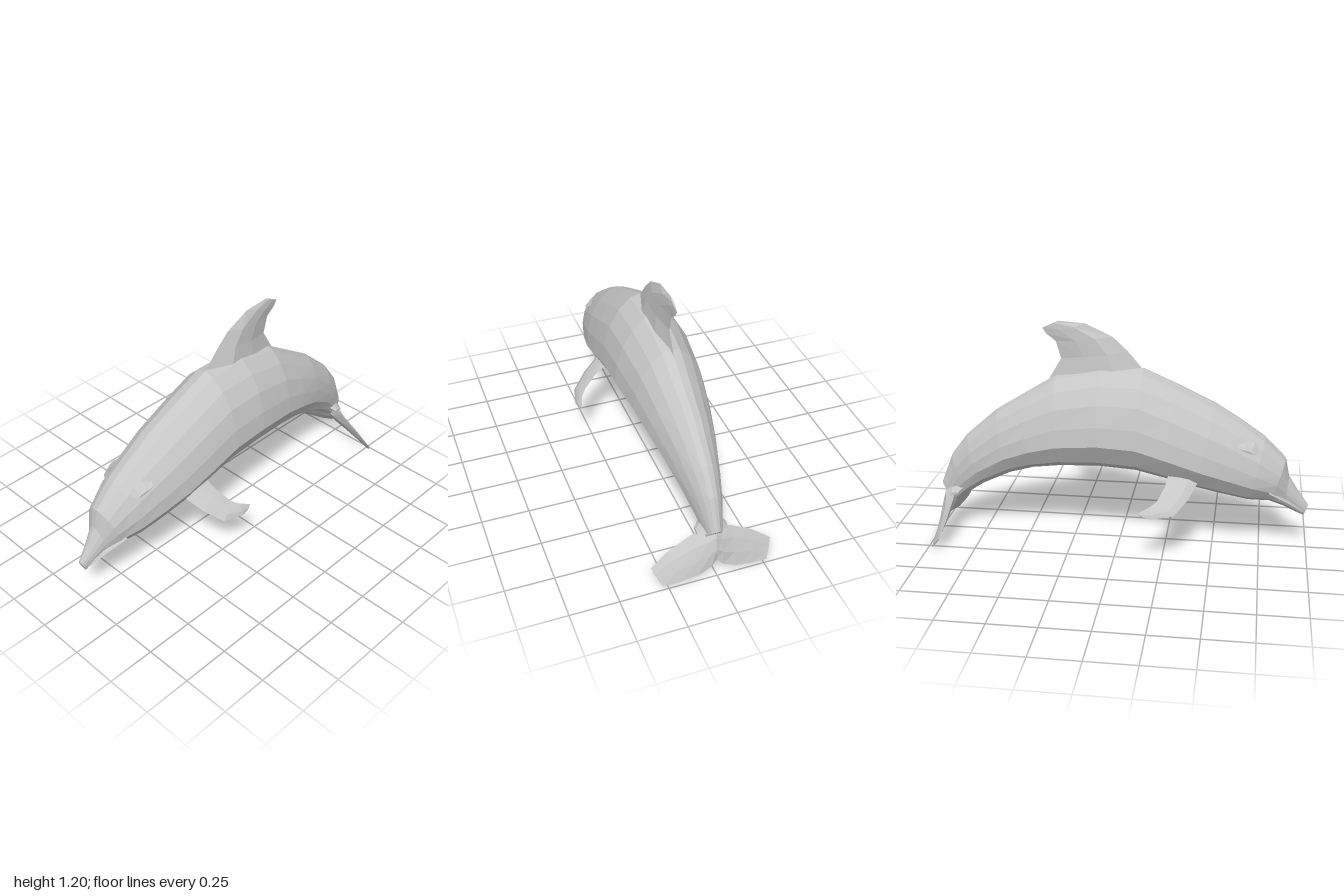
import * as THREE from 'three';

const V = (p) => new THREE.Vector3(...p);

// Closed skin over a row of equal-length rings, wound so it always faces outward.
function loft(rings) {
  const n = rings[0].length, pts = rings.flat(), idx = [];
  for (let i = 0; i < rings.length - 1; i++) {
    for (let j = 0; j < n; j++) {
      const a = i * n + j, b = i * n + (j + 1) % n;
      idx.push(a, b, a + n, b, b + n, a + n);
    }
  }
  // end caps
  const last = (rings.length - 1) * n;
  for (let j = 1; j < n - 1; j++) {
    idx.push(0, j + 1, j, last, last + j, last + j + 1);
  }
  let volume = 0;
  for (let k = 0; k < idx.length; k += 3) {
    const [a, b, c] = [pts[idx[k]], pts[idx[k + 1]], pts[idx[k + 2]]];
    volume += a.dot(b.clone().cross(c));
  }
  if (volume < 0) idx.reverse();
  const geo = new THREE.BufferGeometry().setFromPoints(pts);
  geo.setIndex(idx);
  const flat = geo.toNonIndexed();
  flat.computeVertexNormals();
  return flat;
}

// Fin from sections [leading point, trailing point, half thickness].
function fin(sections, normal, side = 1) {
  const nrm = V(normal).normalize();
  return loft(sections.map(([lead, trail, th]) => {
    const at = (f, k) => V(lead).lerp(V(trail), f).addScaledVector(nrm, k * th);
    const ring = [at(0, 0), at(0.3, 1), at(0.65, 0.8), at(1, 0), at(0.65, -0.8), at(0.3, -1)];
    ring.forEach((p) => { p.z *= side; });
    return ring;
  }));
}

// Half cross-section of the trunk: [height fraction, width fraction], top to belly.
const HALF = [[1, 0], [0.97, 0.25], [0.86, 0.55], [0.7, 0.8], [0.5, 0.95], [0.31, 1], [0.11, 0.72], [0.02, 0.35], [0, 0]];

// Body stations: top x, top y, belly x, belly y, half width, roundness.
const STATIONS = [
  [-1.0, 0.25, -0.975, 0.19, 0.02, 1],
  [-0.945, 0.325, -0.925, 0.212, 0.038, 1],
  [-0.892, 0.41, -0.87, 0.24, 0.06, 0.9],
  [-0.87, 0.51, -0.79, 0.272, 0.108, 0.6],
  [-0.76, 0.62, -0.68, 0.277, 0.152, 0.3],
  [-0.63, 0.71, -0.55, 0.305, 0.18, 0.1],
  [-0.5, 0.79, -0.4, 0.34, 0.205, 0],
  [-0.3, 0.885, -0.25, 0.38, 0.215, 0],
  [-0.12, 0.965, -0.09, 0.417, 0.217, 0],
  [0.1, 0.968, 0.1, 0.43, 0.214, 0],
  [0.34, 0.91, 0.31, 0.42, 0.19, 0],
  [0.5, 0.81, 0.46, 0.4, 0.166, 0],
  [0.66, 0.71, 0.59, 0.36, 0.135, 0.1],
  [0.83, 0.56, 0.74, 0.285, 0.095, 0.3],
  [0.92, 0.44, 0.83, 0.225, 0.067, 0.5],
  [0.985, 0.275, 0.9, 0.172, 0.04, 0.8],
];

function bodyRing([tx, ty, bx, by, w, round]) {
  const half = HALF.map(([t, s], j) => {
    const a = (j / 8) * Math.PI;
    const h = THREE.MathUtils.lerp(t, (1 + Math.cos(a)) / 2, round);
    const z = w * THREE.MathUtils.lerp(s, Math.sin(a), round);
    return new THREE.Vector3(bx + (tx - bx) * h, by + (ty - by) * h, z);
  });
  const other = half.slice(1, -1).reverse().map((p) => new THREE.Vector3(p.x, p.y, -p.z));
  return [...half, ...other];
}

export function createModel() {
  const model = new THREE.Group();
  model.name = 'dolphin';
  const skin = new THREE.MeshStandardMaterial({ color: 0xc6c6c6 });
  skin.name = 'grey skin';
  const add = (name, geo) => {
    const mesh = new THREE.Mesh(geo, skin);
    mesh.name = name;
    model.add(mesh);
  };

  add('body', loft(STATIONS.map(bodyRing)));

  // swept-back fin on the back
  add('dorsalFin', fin([
    [[-0.12, 0.955, 0], [0.38, 0.88, 0], 0.048],
    [[-0.04, 1.05, 0], [0.31, 1.0, 0], 0.032],
    [[0.04, 1.125, 0], [0.335, 1.09, 0], 0.024],
    [[0.18, 1.19, 0], [0.385, 1.13, 0], 0.014],
    [[0.32, 1.2, 0], [0.405, 1.16, 0], 0.005],
  ], [0, 0, 1]));

  // tail flukes, one span from tip to tip
  const fluke = [
    [[0.92, 0.08, 0.315], [0.982, 0, 0.272], 0.004],
    [[0.905, 0.15, 0.22], [0.993, 0.015, 0.19], 0.012],
    [[0.9, 0.215, 0.1], [1.0, 0.035, 0.1], 0.02],
    [[0.91, 0.235, 0.04], [0.995, 0.065, 0.03], 0.03],
  ];
  const flip = ([l, t, th]) => [[l[0], l[1], -l[2]], [t[0], t[1], -t[2]], th];
  add('tailFlukes', fin([
    ...fluke,
    [[0.92, 0.25, 0], [0.985, 0.095, 0], 0.035],
    ...fluke.map(flip).reverse(),
  ], [0.88, 0.47, 0]));

  // paired parts
  for (const side of [1, -1]) {
    const label = side > 0 ? 'near' : 'far';
    add(label + 'Flipper', fin([
      [[-0.43, 0.415, 0.14], [-0.27, 0.44, 0.15], 0.016],
      [[-0.38, 0.345, 0.245], [-0.26, 0.4, 0.215], 0.012],
      [[-0.315, 0.287, 0.325], [-0.225, 0.345, 0.285], 0.009],
      [[-0.2, 0.273, 0.35], [-0.19, 0.325, 0.315], 0.006],
      [[-0.155, 0.28, 0.342], [-0.132, 0.295, 0.333], 0.003],
    ], [0.2, -0.76, -0.62], side));
    add(label + 'EyeBrow', fin([
      [[-0.74, 0.58, 0.08], [-0.6, 0.635, 0.1], 0.02],
      [[-0.71, 0.565, 0.128], [-0.63, 0.6, 0.148], 0.006],
    ], [-0.4, 0.9, 0], side));
    add(label + 'TailKeel', fin([
      [[0.83, 0.285, 0.02], [0.96, 0.25, 0.02], 0.03],
      [[0.88, 0.24, 0.08], [0.93, 0.23, 0.08], 0.008],
    ], [0.3, 0.95, 0], side));
    // slim lip along the beak
    add(label + 'Lip', fin([
      [[-0.985, 0.215, 0.015], [-0.975, 0.212, 0.022], 0.006],
      [[-0.9, 0.275, 0.04], [-0.9, 0.272, 0.064], 0.008],
      [[-0.79, 0.355, 0.1], [-0.79, 0.35, 0.122], 0.006],
    ], [0, 1, 0], side));
  }
  return model;
}
